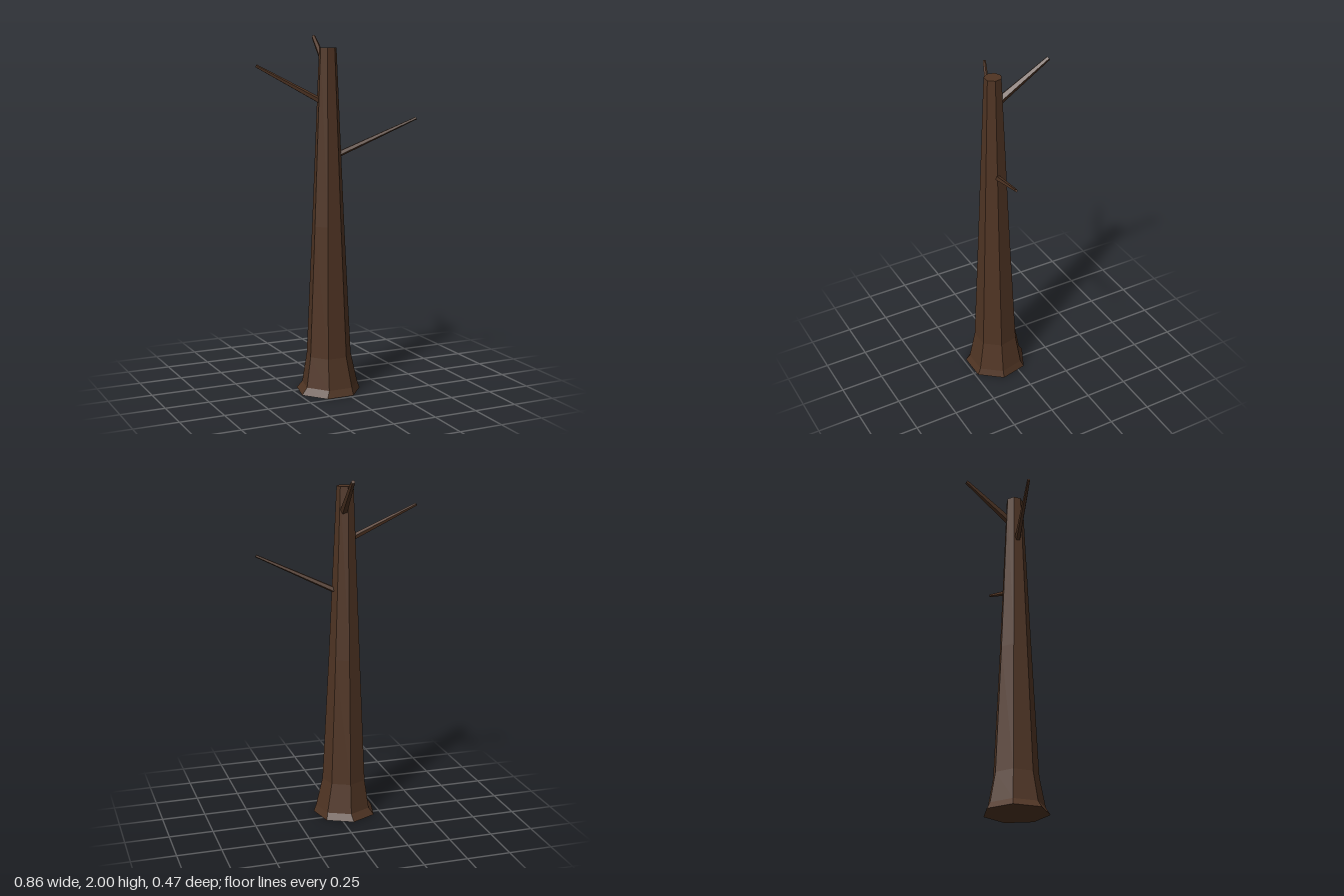
import * as THREE from 'three';

const SIDES = 7;

// Faceted trunk lofted through seven-sided rings [y, centreX, centreZ, radius]
function trunkGeometry(rings) {
  const corner = ([y, cx, cz, r], i) => {
    const a = (i / SIDES) * Math.PI * 2;
    return [cx + Math.sin(a) * r, y, cz - Math.cos(a) * r];
  };
  const centre = ([y, cx, cz]) => [cx, y, cz];
  const pos = [];
  const tri = (...points) => points.forEach((p) => pos.push(...p));
  const bottom = rings[0], top = rings[rings.length - 1];
  for (let i = 0; i < SIDES; i++) {
    for (let k = 0; k < rings.length - 1; k++) {
      const a = corner(rings[k], i), b = corner(rings[k], i + 1);
      const c = corner(rings[k + 1], i + 1), d = corner(rings[k + 1], i);
      tri(a, d, c);
      tri(a, c, b);
    }
    tri(centre(top), corner(top, i + 1), corner(top, i));
    tri(centre(bottom), corner(bottom, i), corner(bottom, i + 1));
  }
  const geo = new THREE.BufferGeometry();
  geo.setAttribute('position', new THREE.Float32BufferAttribute(pos, 3));
  geo.computeVertexNormals();
  return geo;
}

// Tapered five-sided branch between two points
function branch(name, from, to, r0, r1, material) {
  const a = new THREE.Vector3(...from), b = new THREE.Vector3(...to);
  const dir = b.clone().sub(a);
  const geo = new THREE.CylinderGeometry(r1, r0, dir.length(), 5).toNonIndexed();
  geo.computeVertexNormals();
  const mesh = new THREE.Mesh(geo, material);
  mesh.name = name;
  mesh.position.copy(a).add(b).multiplyScalar(0.5);
  mesh.quaternion.setFromUnitVectors(new THREE.Vector3(0, 1, 0), dir.normalize());
  return mesh;
}

export function createModel() {
  const group = new THREE.Group();
  group.name = 'bareTree';
  const bark = new THREE.MeshStandardMaterial({ color: 0x4f3423 });
  bark.name = 'bark';
  bark.flatShading = true;

  // Trunk with a flared foot and a flat cut top
  const trunk = new THREE.Mesh(trunkGeometry([
    [0, -0.058, 0.068, 0.184],
    [0.04, -0.05, 0.071, 0.161],
    [0.21, -0.055, 0.068, 0.128],
    [0.95, -0.058, 0.069, 0.092],
    [1.93, -0.06, 0.069, 0.049],
  ]), bark);
  trunk.name = 'trunk';
  group.add(trunk);

  // Three bare branches
  group.add(
    branch('rightBranch', [-0.09, 1.635, 0.065], [-0.425, 1.832, -0.073], 0.018, 0.009, bark),
    branch('leftBranch', [-0.01, 1.34, 0.073], [0.423, 1.541, 0.2], 0.017, 0.008, bark),
    branch('backBranch', [-0.044, 1.79, 0.045], [-0.008, 1.99, -0.235], 0.023, 0.012, bark),
  );
  return group;
}
